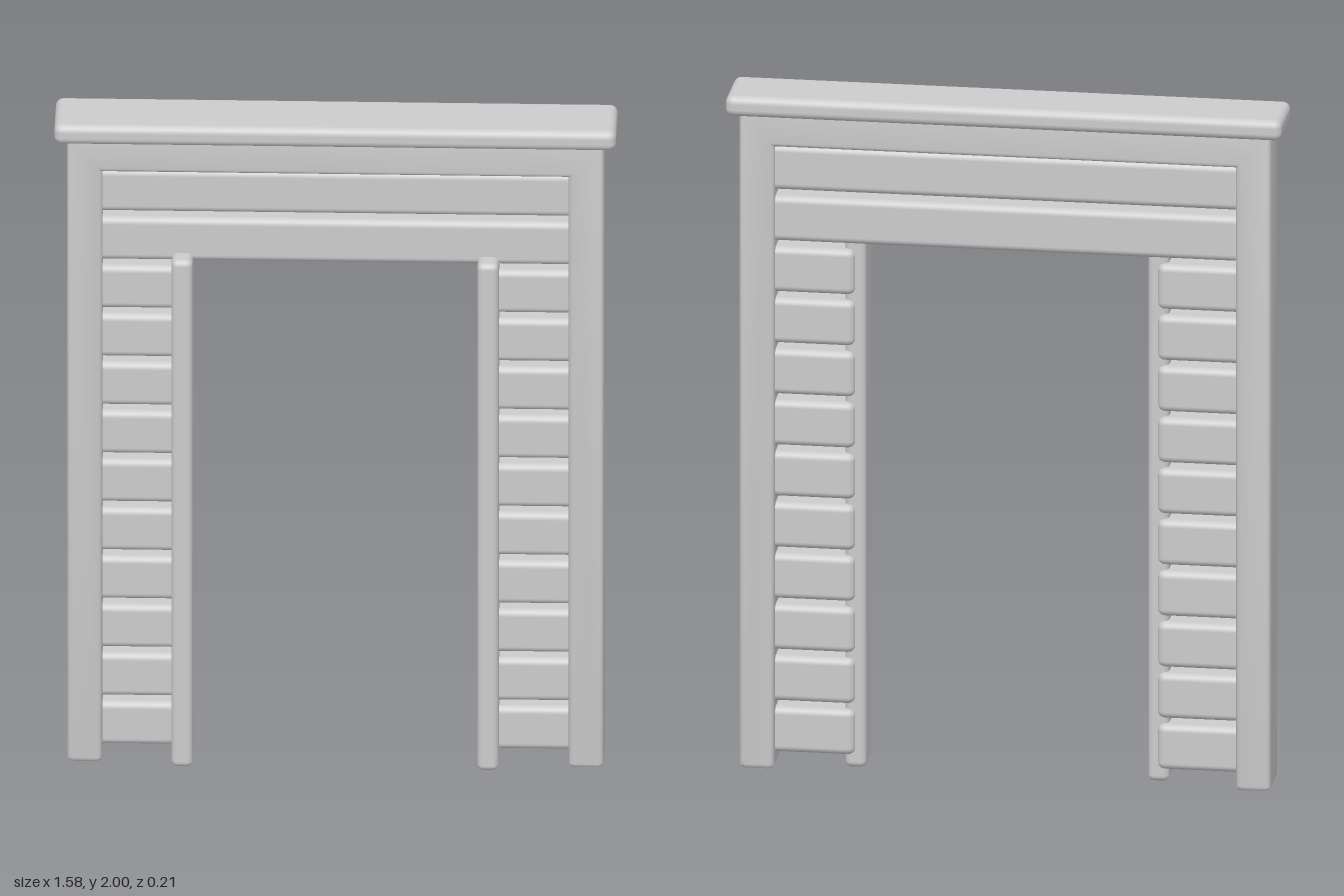
import * as THREE from 'three';
import { RoundedBoxGeometry } from 'three/addons/geometries/RoundedBoxGeometry.js';
import { toCreasedNormals } from 'three/addons/utils/BufferGeometryUtils.js';

const material = new THREE.MeshStandardMaterial({ color: 0xcccccc });

// Rounded beam given by its lower and upper limits on each axis
function beam(name, [x0, x1], [y0, y1], [z0, z1], radius) {
  const geometry = new RoundedBoxGeometry(x1 - x0, y1 - y0, z1 - z0, 3, radius);
  const mesh = new THREE.Mesh(geometry, material);
  mesh.name = name;
  mesh.position.set((x0 + x1) / 2, (y0 + y1) / 2, (z0 + z1) / 2);
  return mesh;
}

// Two posts and the top rail as one bevelled, upside-down U
function outerFrame() {
  const outer = 0.755, inner = 0.655, top = 1.95, rail = 1.845, c = 0.014, bevel = 0.014;
  const half = [
    [inner, rail], [inner, c], [inner + c * 0.3, c * 0.3], [inner + c, 0],
    [outer - c, 0], [outer - c * 0.3, c * 0.3], [outer, c], [outer, top],
  ];
  const mirrored = half.map(([x, y]) => [-x, y]).reverse();
  const shape = new THREE.Shape([...half, ...mirrored].map(([x, y]) => new THREE.Vector2(x, y)));
  const depth = 0.14 - 2 * bevel;
  const geometry = new THREE.ExtrudeGeometry(shape, {
    depth, bevelEnabled: true, bevelThickness: bevel, bevelSize: bevel,
    bevelOffset: -bevel, bevelSegments: 3,
  });
  geometry.translate(0, 0, -depth / 2);
  const mesh = new THREE.Mesh(toCreasedNormals(geometry, 0.7), material);
  mesh.name = 'outerFrame';
  return mesh;
}

export function createModel() {
  const model = new THREE.Group();
  model.name = 'doorSurround';

  model.add(outerFrame());
  model.add(beam('capBoard', [-0.79, 0.79], [1.94, 2], [-0.105, 0.097], 0.022));

  // Rows of boards: short ones beside the opening, full-width ones above it
  const pitch = 0.1515, boardHeight = 0.133, depth = [-0.05, 0.05];
  const boards = new THREE.Group();
  boards.name = 'boards';
  for (let row = 0; row < 12; row++) {
    const y0 = 0.045 + row * pitch;
    const y = [y0, y0 + boardHeight];
    if (row < 10) {
      boards.add(beam('leftBoard', [0.43, 0.68], y, depth, 0.02));
      boards.add(beam('rightBoard', [-0.68, -0.43], y, depth, 0.02));
    } else {
      boards.add(beam('headerBoard', [-0.68, 0.68], y, depth, 0.02));
    }
  }
  model.add(boards);

  // Upright trim strips lining the opening, proud of the front
  model.add(beam('leftTrim', [0.4, 0.46], [0.003, 1.587], [-0.03, 0.105], 0.018));
  model.add(beam('rightTrim', [-0.46, -0.4], [0.003, 1.587], [-0.03, 0.105], 0.018));

  return model;
}
